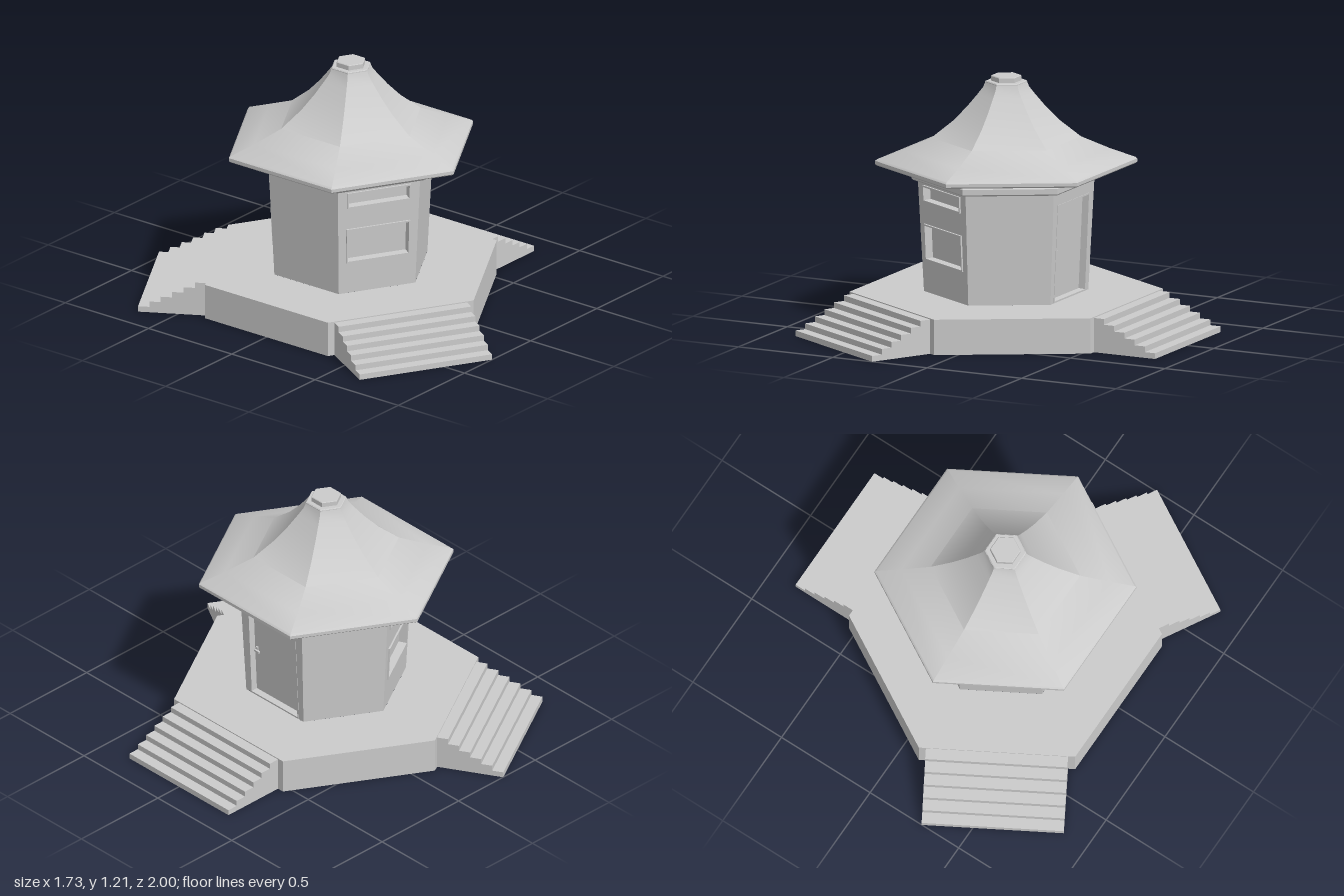
import * as THREE from 'three';
import { toCreasedNormals } from 'three/addons/utils/BufferGeometryUtils.js';

const mat = new THREE.MeshStandardMaterial({ color: 0xcccccc, side: THREE.DoubleSide });

function add(parent, name, geometry, x = 0, y = 0, z = 0) {
  const mesh = new THREE.Mesh(geometry, mat);
  mesh.name = name;
  mesh.position.set(x, y, z);
  parent.add(mesh);
  return mesh;
}

// Six-sided body from a [radius, y] profile, a corner on the z axis
function hexLathe(profile, crease = 30) {
  const points = profile.map(([r, y]) => new THREE.Vector2(r, y));
  return toCreasedNormals(new THREE.LatheGeometry(points, 6), THREE.MathUtils.degToRad(crease));
}

function rectPath(Type, x0, y0, w, h) {
  return new Type([[x0, y0], [x0 + w, y0], [x0 + w, y0 + h], [x0, y0 + h]]
    .map(([x, y]) => new THREE.Vector2(x, y)));
}

const BASE = 0.17;
const WALL = { low: 0.335, high: 0.36, height: 0.537 };

// Open-bottomed flight of steps running along +x
function makeStairs() {
  const g = new THREE.Group();
  g.name = 'stairs';
  const steps = 6, run = 0.054, rise = 0.0275, start = 0.638, width = 0.67;
  const side = [new THREE.Vector2(start, 0)];
  for (let i = 0; i < steps; i++) {
    const x = start + i * run, y = (steps - i) * rise;
    side.push(new THREE.Vector2(x, y), new THREE.Vector2(x + run, y));
    add(g, 'tread', new THREE.PlaneGeometry(run, width).rotateX(-Math.PI / 2), x + run / 2, y, 0);
    add(g, 'riser', new THREE.PlaneGeometry(width, rise).rotateY(Math.PI / 2), x + run, y - rise / 2, 0);
  }
  side.push(new THREE.Vector2(start + steps * run, 0));
  side.reverse();
  for (const s of [-1, 1]) {
    add(g, 'stairSide', new THREE.ShapeGeometry(new THREE.Shape(side)), 0, 0, s * width / 2);
  }
  return g;
}

// Leaning wall panel facing +z, with recessed openings {name, y, w, h, proud}
function makeWall(openings) {
  const g = new THREE.Group();
  const tan = Math.tan(Math.PI / 6);
  const a = WALL.low * tan, b = WALL.high * tan, h = WALL.height;
  const shape = new THREE.Shape([[-a, 0], [a, 0], [b, h], [-b, h]]
    .map(([x, y]) => new THREE.Vector2(x, y)));
  const depth = 0.035, rim = 0.008;
  for (const o of openings) {
    shape.holes.push(rectPath(THREE.Path, -o.w / 2, o.y, o.w, o.h));
    const frame = rectPath(THREE.Shape, -o.w / 2, o.y, o.w, o.h);
    frame.holes.push(rectPath(THREE.Path, -o.w / 2 + rim, o.y + rim, o.w - 2 * rim, o.h - 2 * rim));
    add(g, o.name + 'Frame',
      new THREE.ExtrudeGeometry(frame, { depth: depth + o.proud, bevelEnabled: false }), 0, 0, -depth);
    add(g, o.name + 'Panel', new THREE.PlaneGeometry(o.w, o.h), 0, o.y + o.h / 2, -depth + 0.003);
  }
  add(g, 'wall', new THREE.ShapeGeometry(shape));
  g.rotation.x = Math.atan2(WALL.high - WALL.low, h);
  g.position.set(0, BASE, WALL.low);
  return g;
}

export function createModel() {
  const model = new THREE.Group();
  model.name = 'hexagonalKiosk';
  const body = new THREE.Group();
  body.name = 'kiosk';
  body.position.x = -0.1;
  model.add(body);

  // Platform with an open floor under the room
  add(body, 'platform', hexLathe([[0.737, 0], [0.737, BASE], [0.387, BASE]]));

  // Three flights of stairs
  for (let k = 0; k < 3; k++) {
    const stairs = makeStairs();
    stairs.rotation.y = k * Math.PI * 2 / 3;
    body.add(stairs);
  }

  // Walls: a door, two windowed faces, blank faces between
  const door = [{ name: 'door', y: 0.001, w: 0.325, h: 0.474, proud: 0.002 }];
  const windows = [
    { name: 'window', y: 0.157, w: 0.322, h: 0.175, proud: 0.008 },
    { name: 'ventWindow', y: 0.44, w: 0.322, h: 0.08, proud: 0.008 },
  ];
  for (let k = 0; k < 6; k++) {
    const face = new THREE.Group();
    face.name = k === 0 ? 'doorFace' : k % 2 ? 'blankFace' : 'windowFace';
    face.rotation.y = Math.PI / 2 - k * Math.PI / 3;
    const wall = makeWall(k === 0 ? door : k % 2 ? [] : windows);
    if (k === 0) {
      add(wall, 'handlePlate', new THREE.BoxGeometry(0.012, 0.036, 0.01), -0.137, 0.24, -0.028);
      add(wall, 'handle', new THREE.BoxGeometry(0.03, 0.01, 0.01), -0.128, 0.24, -0.019);
    }
    face.add(wall);
    body.add(face);
  }

  // Cornice and the narrower neck under the roof
  add(body, 'cornice', hexLathe([
    [0.405, 0.705], [0.438, 0.705], [0.446, 0.712], [0.446, 0.738],
    [0.438, 0.745], [0.375, 0.745], [0.375, 0.778],
  ]));

  // Swept roof: soft skirt, crisp ridges above
  add(body, 'roof', hexLathe([
    [0.37, 0.775], [0.608, 0.775], [0.617, 0.782], [0.617, 0.798], [0.608, 0.806],
    [0.49, 0.848], [0.352, 0.907], [0.25, 0.988], [0.185, 1.055],
    [0.135, 1.115], [0.108, 1.15], [0.097, 1.178], [0.07, 1.18],
  ]));

  // Finial cap
  add(body, 'roofCap', hexLathe([
    [0.096, 1.145], [0.099, 1.148], [0.099, 1.176], [0.094, 1.18],
    [0.072, 1.18], [0.072, 1.202], [0.069, 1.205], [0, 1.205],
  ]));

  return model;
}
